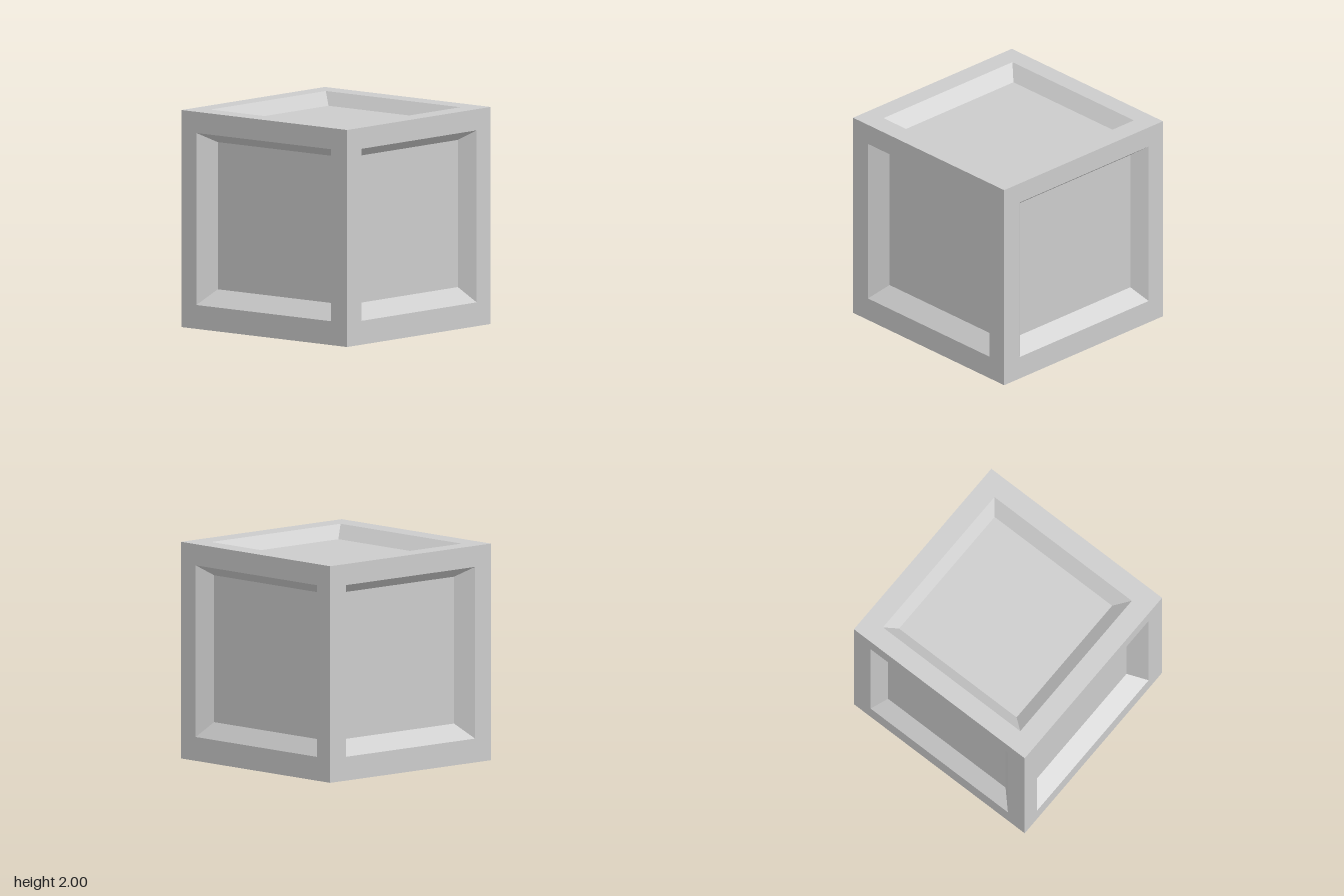
import * as THREE from 'three';

// Extents per axis [min, max]: outer cube, recess openings, recess floors' outlines
const OUTER = [[-1, 1], [0, 2], [-1, 1]];
const OPENING = [[-0.82, 0.804], [0.22, 1.805], [-0.805, 0.803]];
const FLOOR = [[-0.704, 0.687], [0.358, 1.714], [-0.709, 0.667]];
// Where each recess floor lies along its own axis
const FLOOR_LEVEL = [[-0.865, 0.857], [0.155, 1.885], [-0.88, 0.835]];
const SIDE_NAMES = [['right', 'left'], ['bottom', 'top'], ['back', 'front']];

// Four corners of a rectangle facing outwards along an axis, counter-clockwise from outside
function rectangle(axis, side, level, extents) {
  const u = (axis + 1) % 3, v = (axis + 2) % 3;
  const corners = [[0, 0], [1, 0], [1, 1], [0, 1]].map(([i, j]) => {
    const p = [0, 0, 0];
    p[axis] = level;
    p[u] = extents[u][i];
    p[v] = extents[v][j];
    return p;
  });
  return side ? corners : corners.reverse();
}

// Four quads joining an outer rectangle to an inner one
function ring(outer, inner) {
  return outer.map((p, i) => {
    const j = (i + 1) % 4;
    return [p, outer[j], inner[j], inner[i]];
  });
}

function quadMesh(name, quads, material) {
  const points = quads.flatMap(([a, b, c, d]) => [a, b, c, a, c, d]).flat();
  const geometry = new THREE.BufferGeometry();
  geometry.setAttribute('position', new THREE.Float32BufferAttribute(points, 3));
  geometry.computeVertexNormals();
  const mesh = new THREE.Mesh(geometry, material);
  mesh.name = name;
  return mesh;
}

export function createModel() {
  const group = new THREE.Group();
  group.name = 'crate';
  const material = new THREE.MeshStandardMaterial({ color: 0xcccccc, flatShading: true });

  for (let axis = 0; axis < 3; axis++) {
    for (let side = 0; side < 2; side++) {
      const level = OUTER[axis][side];
      const rim = rectangle(axis, side, level, OUTER);
      const opening = rectangle(axis, side, level, OPENING);
      const floor = rectangle(axis, side, FLOOR_LEVEL[axis][side], FLOOR);

      // Flat border, sloping recess walls and sunken panel of one side
      const face = new THREE.Group();
      face.name = SIDE_NAMES[axis][side] + 'Side';
      face.add(
        quadMesh('frame', ring(rim, opening), material),
        quadMesh('recessWalls', ring(opening, floor), material),
        quadMesh('panel', [floor], material)
      );
      group.add(face);
    }
  }
  return group;
}
